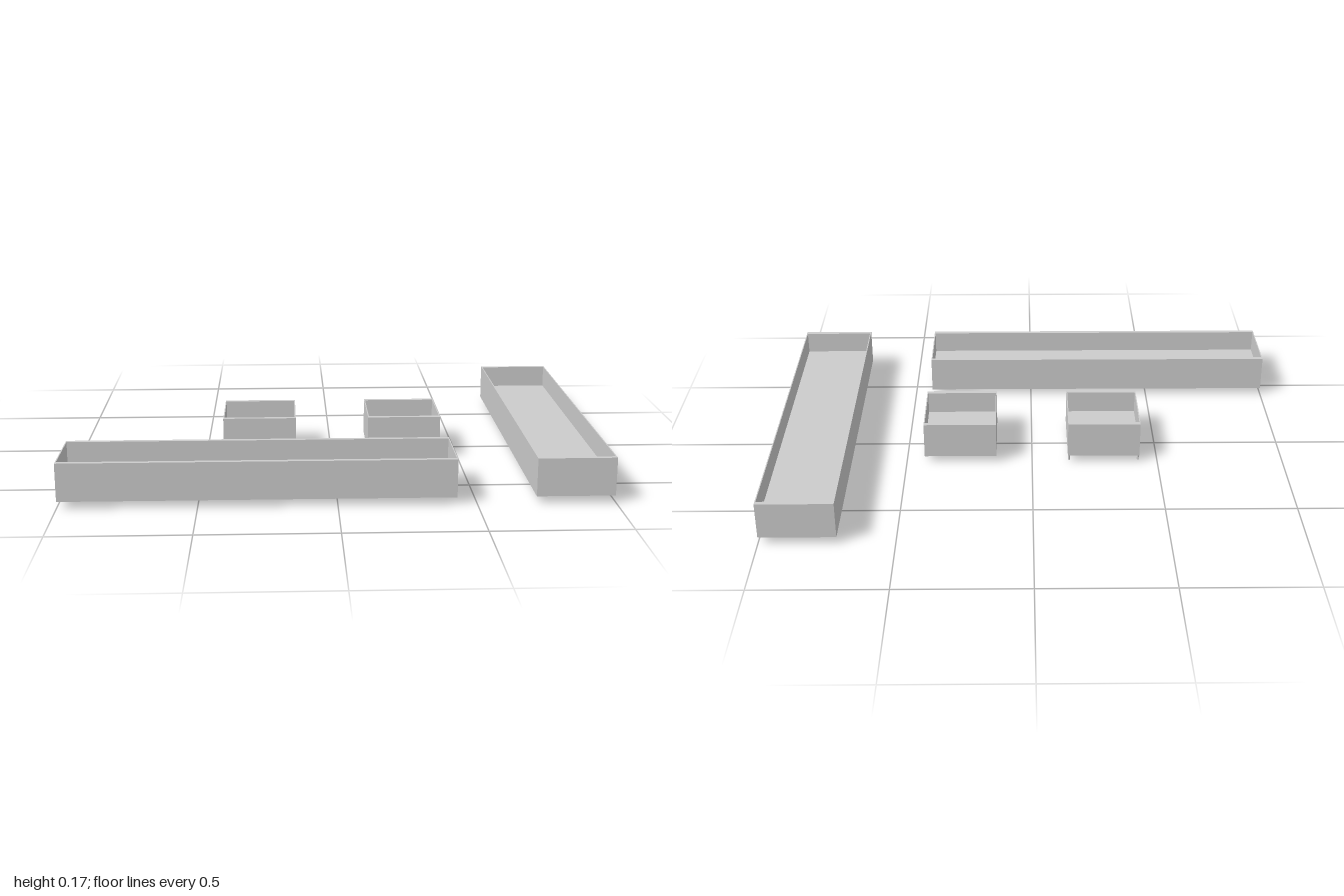
import * as THREE from 'three';

const U = 2 / 7;          // module size: planters are 1x1 or 5x1 modules
const Y0 = 0.025, Y1 = 0.167, FLOOR = 0.08;
const WALL_Z = 0.018, WALL_X = 0.004;

const material = new THREE.MeshStandardMaterial({ color: 0xcccccc, flatShading: true });

function box(name, w, h, d, x, y, z) {
  const mesh = new THREE.Mesh(new THREE.BoxGeometry(w, h, d), material);
  mesh.name = name;
  mesh.position.set(x, y, z);
  return mesh;
}

// Open tray with a raised floor, thick walls along z and thin walls along x
function planter(name, x, z, w, d) {
  const group = new THREE.Group();
  group.name = name;
  group.position.set(x, 0, z);
  const h = Y1 - Y0, mid = (Y0 + Y1) / 2;
  const innerW = w - 2 * WALL_X, innerD = d - 2 * WALL_Z;
  group.add(box('floor', innerW, FLOOR - Y0, innerD, 0, (FLOOR + Y0) / 2, 0));
  for (const s of [-1, 1]) {
    group.add(box(s > 0 ? 'frontWall' : 'backWall', w, h, WALL_Z, 0, mid, s * (d - WALL_Z) / 2));
    group.add(box(s > 0 ? 'leftWall' : 'rightWall', WALL_X, h, innerD, s * (w - WALL_X) / 2, mid, 0));
  }
  return group;
}

export function createModel() {
  const model = new THREE.Group();
  model.name = 'planterSet';
  model.add(planter('frontLongPlanter', -U, 2 * U, 5 * U, U));
  model.add(planter('sideLongPlanter', 3 * U, 0, U, 5 * U));
  model.add(planter('leftSmallPlanter', U, 0, U, U));
  const footed = planter('rightSmallPlanter', -U, 0, U, U);

  // Small pin feet under one square planter
  const footGeometry = new THREE.CylinderGeometry(0.004, 0.004, Y0, 8);
  for (const sx of [-1, 1]) for (const sz of [-1, 1]) {
    const foot = new THREE.Mesh(footGeometry, material);
    foot.name = 'foot';
    foot.position.set(sx * 0.138, Y0 / 2, sz * 0.13);
    footed.add(foot);
  }
  model.add(footed);
  return model;
}
